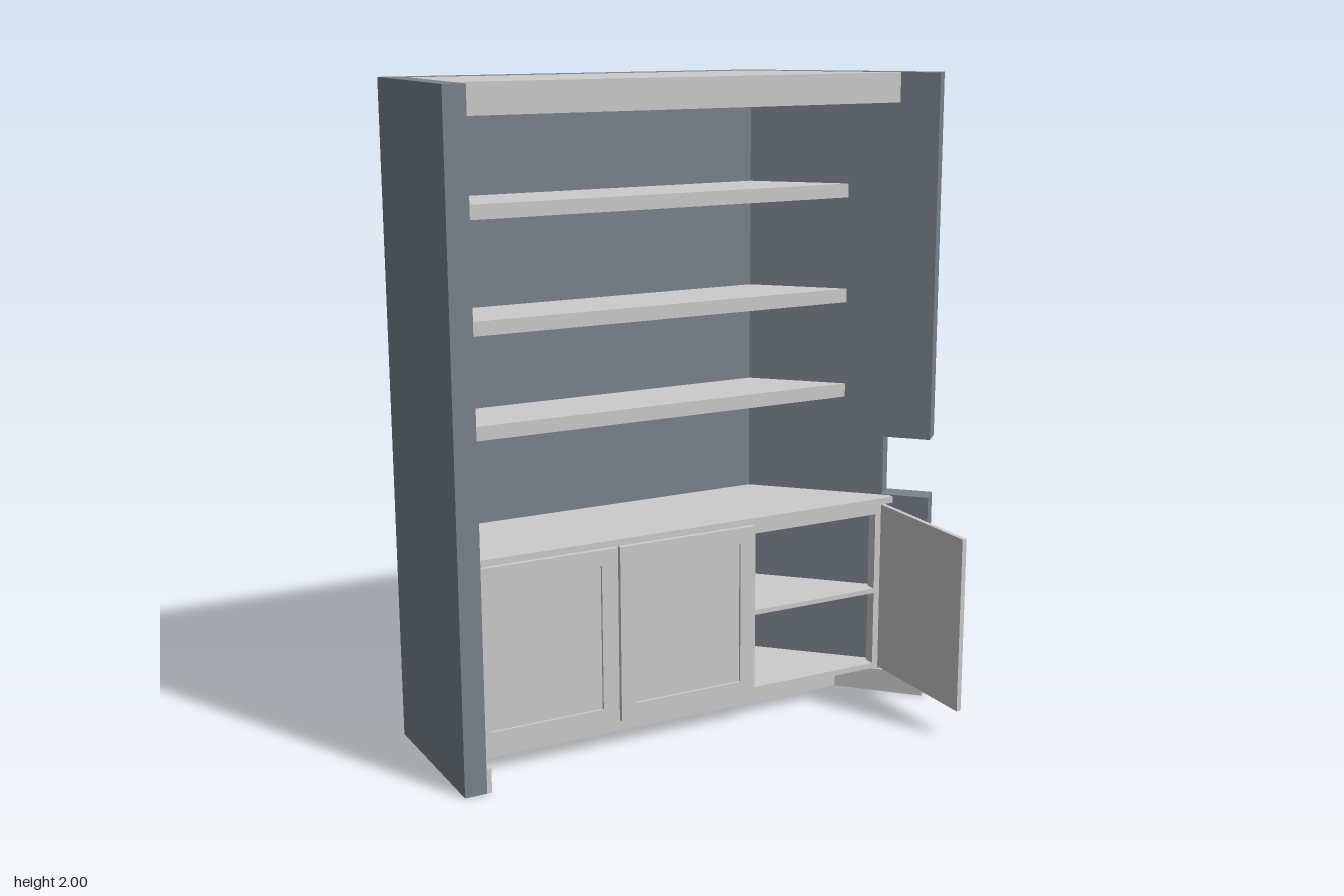
import * as THREE from 'three';

const grey = new THREE.MeshStandardMaterial({ color: 0xcccccc });
const slate = new THREE.MeshStandardMaterial({ color: 0x7a838c });

export function createModel() {
  const model = new THREE.Group();

  const add = (name, geometry, material = grey, parent = model) => {
    const mesh = new THREE.Mesh(geometry, material);
    mesh.name = name;
    parent.add(mesh);
    return mesh;
  };

  // box given by its limits
  const box = (x0, x1, y0, y1, z0, z1) =>
    new THREE.BoxGeometry(x1 - x0, y1 - y0, z1 - z0)
      .translate((x0 + x1) / 2, (y0 + y1) / 2, (z0 + z1) / 2);

  // plan outline of [x, z] points raised from y0 to y1
  const slab = (points, y0, y1) => {
    const shape = new THREE.Shape(points.map(([x, z]) => new THREE.Vector2(x, -z)));
    return new THREE.ExtrudeGeometry(shape, { depth: y1 - y0, bevelEnabled: false })
      .rotateX(-Math.PI / 2).translate(0, y0, 0);
  };

  // board outline fitted to the back wall and the angled wall
  const diag = 0.705, back = -0.35, left = -0.76;
  const board = (front, xMax = diag + front, x0 = left) => {
    const pts = [[x0, back], [diag + back, back], [xMax, xMax - diag]];
    if (xMax - diag < front - 0.001) pts.push([xMax, front]);
    pts.push([x0, front]);
    return pts;
  };

  // walls: left return, back and angled right side
  add('walls', slab([
    [-0.827, 0.095], [-0.827, -0.425], [0.382, -0.425], [0.72, -0.087],
    [0.668, -0.037], [0.355, back], [left, back], [left, 0.095]], 0, 2), slate);

  // angled wall end, interrupted by two notches
  for (const [y0, y1] of [[0, 0.297], [0.485, 0.667], [0.857, 2]]) {
    add('angledWallEnd', slab([
      [0.72, -0.087], [0.826, 0.019], [0.773, 0.072], [0.668, -0.037]], y0, y1), slate);
  }

  // skirting boards
  add('leftSkirting', box(left, -0.745, 0, 0.075, -0.13, 0.095));
  add('rightSkirting', slab([
    [0.575, -0.13], [0.773, 0.072], [0.762, 0.083], [0.56, -0.13]], 0, 0.075));

  // shelves and deep top
  for (const y of [0.98, 1.285, 1.615]) add('shelf', slab(board(-0.127), y, y + 0.043));
  add('topPanel', slab([[left, back], [0.355, back], [0.677, 0], [left, 0]], 1.91, 2));

  // cabinet carcass
  const front = -0.015;
  add('plinth', slab(board(-0.13), 0, 0.087));
  add('cabinetFloor', slab(board(front, 0.655), 0.087, 0.105));
  add('countertop', slab(board(0, 0.685), 0.645, 0.665));
  add('topRail', box(left, 0.655, 0.61, 0.645, -0.045, front));
  add('cabinetShelf', slab(board(front, 0.655), 0.345, 0.36));
  add('leftSide', box(left, -0.745, 0.105, 0.645, back, front));
  for (const x of [-0.295, 0.175]) add('divider', box(x, x + 0.012, 0.105, 0.645, back, front));
  add('rightStile', box(0.63, 0.655, 0.105, 0.645, -0.05, front));

  // door with a recessed panel, hinged on its right edge
  const door = (name, width, x, z, angle) => {
    const group = new THREE.Group();
    group.name = name;
    const h = 0.55, inset = 0.05;
    const rect = (path, x0, y0, x1, y1) =>
      path.moveTo(x0, y0).lineTo(x1, y0).lineTo(x1, y1).lineTo(x0, y1).closePath();
    const frame = rect(new THREE.Shape(), -width, 0, 0, h);
    frame.holes.push(rect(new THREE.Path(), inset - width, inset, -inset, h - inset));
    add('doorFrame', new THREE.ExtrudeGeometry(frame, { depth: 0.008, bevelEnabled: false })
      .translate(0, 0, 0.007), grey, group);
    add('doorPanel', box(-width, 0, 0, h, 0, 0.007), grey, group);
    group.position.set(x, 0.09, z);
    group.rotation.y = angle;
    model.add(group);
  };
  door('leftDoor', 0.463, -0.294, front, 0);
  door('middleDoor', 0.46, 0.176, front, 0);
  door('openDoor', 0.435, 0.651, front, Math.PI / 2);

  return model;
}
